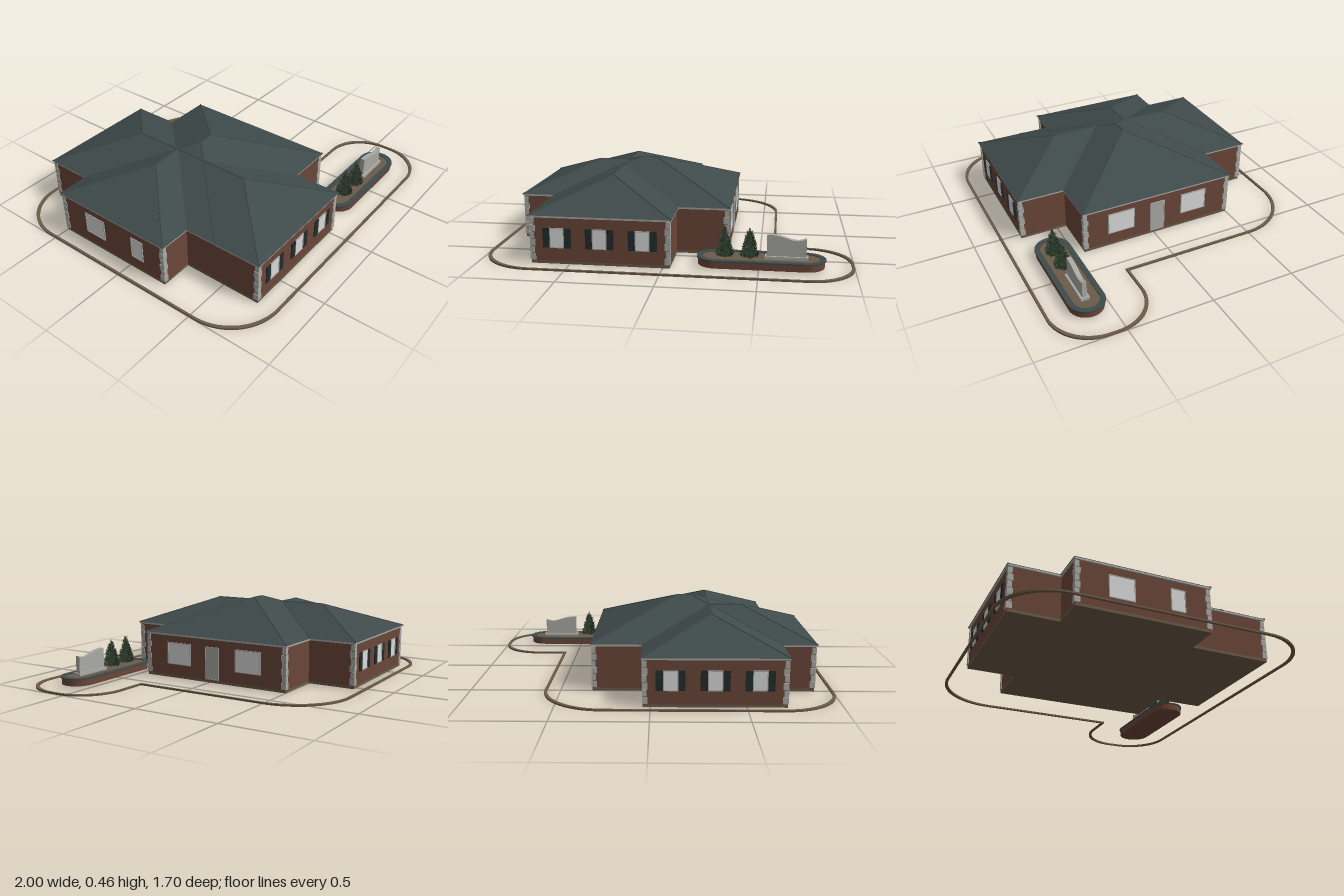
import * as THREE from 'three';
import { mergeGeometries } from 'three/addons/utils/BufferGeometryUtils.js';

const mat = (name, color, side = THREE.FrontSide) => {
  const m = new THREE.MeshStandardMaterial({ color, side });
  m.name = name;
  return m;
};

export function createModel() {
  const root = new THREE.Group();
  root.name = 'house';
  const brick = mat('brick', 0x6a4638);
  const slate = mat('slate', 0x3f4a4a);
  const stone = mat('stone', 0xa9a9a4);
  const glass = mat('pale glass', 0xdadada);
  const shutterPaint = mat('shutter paint', 0x222a2a);
  const earth = mat('earth', 0x6b5a48);
  const leafDark = mat('dark leaves', 0x2b3a2b, THREE.DoubleSide);
  const leafLight = mat('light leaves', 0x44553c, THREE.DoubleSide);

  const add = (parent, name, geo, material, x = 0, y = 0, z = 0) => {
    const m = new THREE.Mesh(geo, material);
    m.name = name;
    m.position.set(x, y, z);
    parent.add(m);
    return m;
  };
  const box = (parent, name, material, w, h, d, x, y, z) =>
    add(parent, name, new THREE.BoxGeometry(w, h, d), material, x, y, z);

  // Three overlapping wings: x0, x1, z0, z1 at the eaves
  const wings = [
    ['longWing', -0.72, 0.05, -0.79, 0.735],
    ['mainWing', -0.72, 0.335, -0.51, 0.455],
    ['sideWing', -0.91, 0.05, -0.51, 0.265],
  ];
  const EAVE = 0.264, PITCH = 0.392, INSET = 0.011;

  // Hip roof, with ridge and hip caps
  function hipRoof(parent, x0, x1, z0, z1) {
    const h = Math.min(x1 - x0, z1 - z0) / 2, top = EAVE + h * PITCH;
    const e = [x0 + h, top, z0 + h], f = [x1 - h, top, z1 - h];
    const alongX = x1 - x0 > z1 - z0;
    const c = [[x0, EAVE, z0], [x0, EAVE, z1], [x1, EAVE, z1], [x1, EAVE, z0]];
    const r = alongX ? [e, e, f, f] : [e, f, f, e];
    const pos = [];
    for (let i = 0; i < 4; i++) {
      const j = (i + 1) % 4;
      pos.push(...c[i], ...c[j], ...r[j]);
      if (r[i] !== r[j]) pos.push(...c[i], ...r[j], ...r[i]);
    }
    pos.push(...c[0], ...c[2], ...c[1], ...c[0], ...c[3], ...c[2]);
    const g = new THREE.BufferGeometry();
    g.setAttribute('position', new THREE.Float32BufferAttribute(pos, 3));
    g.computeVertexNormals();
    add(parent, 'roof', g, slate);
    [[e, f], ...c.map((p, i) => [p, r[i]])].forEach(([a, b]) => {
      const line = new THREE.LineCurve3(new THREE.Vector3(...a), new THREE.Vector3(...b));
      add(parent, 'roofCap', new THREE.TubeGeometry(line, 1, 0.004, 5), slate);
    });
  }

  for (const [name, x0, x1, z0, z1] of wings) {
    const wing = new THREE.Group();
    wing.name = name;
    root.add(wing);
    const w = x1 - x0, d = z1 - z0, x = (x0 + x1) / 2, z = (z0 + z1) / 2;
    box(wing, 'slab', earth, w - 2 * INSET, 0.015, d - 2 * INSET, x, 0.0075, z);
    box(wing, 'walls', brick, w - 2 * INSET, 0.24, d - 2 * INSET, x, 0.135, z);
    box(wing, 'fascia', stone, w - 0.006, 0.01, d - 0.006, x, 0.2585, z);
    hipRoof(wing, x0, x1, z0, z1);
  }

  // Corner stones, alternately long and short; sx, sz point outwards
  const corners = [
    [-0.72, 0.735, -1, 1], [0.05, 0.735, 1, 1], [-0.72, -0.79, -1, -1], [0.05, -0.79, 1, -1],
    [0.335, 0.455, 1, 1], [0.335, -0.51, 1, -1], [-0.91, -0.51, -1, -1], [-0.91, 0.265, -1, 1],
  ];
  for (const [x, z, sx, sz] of corners) {
    const quoin = new THREE.Group();
    quoin.name = 'cornerStones';
    root.add(quoin);
    for (let i = 0; i < 6; i++) {
      const s = i % 2 ? 0.024 : 0.03;
      const off = INSET - 0.004 + s / 2;
      box(quoin, 'cornerStone', stone, s, 0.036, s, x - sx * off, 0.037 + i * 0.039, z - sz * off);
    }
  }

  // Wall openings are built facing +z, then turned to their wall
  function opening(name, x, y, z, turn, w, h, paint) {
    const g = new THREE.Group();
    g.name = name;
    g.position.set(x, y, z);
    g.rotation.y = turn;
    root.add(g);
    box(g, 'pane', paint, w, h, 0.004, 0, 0, 0.001);
    for (const s of [-1, 1]) {
      box(g, 'frameSide', stone, 0.005, h + 0.005, 0.007, s * w / 2, 0, 0.002);
      box(g, 'frameRail', stone, w + 0.005, 0.005, 0.007, 0, s * h / 2, 0.002);
    }
    return g;
  }
  const LONG_FRONT = 0.735 - INSET, LONG_BACK = -0.79 + INSET;
  const RIGHT = 0.335 - INSET, LEFT = -0.91 + INSET;

  // Shuttered windows, front and back
  for (const [z, turn] of [[LONG_FRONT, 0], [LONG_BACK, Math.PI]]) {
    for (const x of [-0.565, -0.335, -0.105]) {
      const win = opening('shutteredWindow', x, 0.143, z, turn, 0.074, 0.105, glass);
      for (const s of [-1, 1]) {
        box(win, 'shutter', shutterPaint, 0.037, 0.108, 0.006, s * 0.058, 0, 0.002);
        for (let i = 0; i < 7; i++)
          box(win, 'slat', shutterPaint, 0.029, 0.006, 0.004, s * 0.058, (i - 3) * 0.0145, 0.006);
      }
    }
  }

  // Door and large windows on one side, two plain windows on the other
  opening('door', RIGHT, 0.114, -0.021, Math.PI / 2, 0.088, 0.188, stone);
  for (const z of [0.212, -0.26])
    opening('largeWindow', RIGHT, 0.147, z, Math.PI / 2, 0.162, 0.127, glass);
  opening('wideWindow', LEFT, 0.145, -0.25, -Math.PI / 2, 0.14, 0.125, glass);
  opening('narrowWindow', LEFT, 0.145, 0.065, -Math.PI / 2, 0.08, 0.125, glass);

  // Flat shapes are drawn in (x, -z) and extruded upwards
  const slabOf = (shape, depth) =>
    new THREE.ExtrudeGeometry(shape, { depth, bevelEnabled: false, curveSegments: 14 }).rotateX(-Math.PI / 2);

  // Kerb around the plot; o moves the line inwards
  function plotLine(T, o) {
    const p = new T();
    const L = -1 + o, R = 1 - o, B = -0.845 + o, U = 0.85 - o, X = 0.587 - o, S = -0.292 - o, q = Math.PI / 2;
    p.moveTo(L + 0.3, B);
    p.lineTo(R - 0.24, B);
    p.absarc(R - 0.24, B + 0.24, 0.24, -q, 0, false);
    p.absarc(R - 0.24, S - 0.24, 0.24, 0, q, false);
    p.lineTo(X, S);
    p.lineTo(X, U - 0.34);
    p.absarc(X - 0.34, U - 0.34, 0.34, 0, q, false);
    p.absarc(L + 0.3, U - 0.3, 0.3, q, 2 * q, false);
    p.absarc(L + 0.3, B + 0.3, 0.3, 2 * q, 3 * q, false);
    return p;
  }
  const kerb = plotLine(THREE.Shape, 0);
  kerb.holes.push(plotLine(THREE.Path, 0.014));
  add(root, 'kerb', slabOf(kerb, 0.01), earth);

  // Planter with a slate rim and earth inside
  const planter = new THREE.Group();
  planter.name = 'planter';
  planter.position.set(0.51, 0, 0.618);
  root.add(planter);
  const stadium = (T, hw, r) => {
    const p = new T();
    p.absarc(hw - r, 0, r, -Math.PI / 2, Math.PI / 2, false);
    p.absarc(-hw + r, 0, r, Math.PI / 2, Math.PI * 1.5, false);
    p.closePath();
    return p;
  };
  add(planter, 'planterWall', slabOf(stadium(THREE.Shape, 0.333, 0.097), 0.036), brick, 0, 0.008, 0);
  const rim = stadium(THREE.Shape, 0.34, 0.103);
  rim.holes.push(stadium(THREE.Path, 0.309, 0.072));
  add(planter, 'planterRim', slabOf(rim, 0.008), slate, 0, 0.044, 0);
  add(planter, 'planterEarth', slabOf(stadium(THREE.Shape, 0.311, 0.074), 0.004), earth, 0, 0.044, 0);

  // Blank stone panel with a wavy top
  const panel = new THREE.Shape();
  panel.moveTo(-0.103, 0);
  panel.lineTo(0.103, 0);
  panel.lineTo(0.103, 0.1);
  panel.bezierCurveTo(0.03, 0.065, 0.01, 0.118, -0.103, 0.117);
  panel.closePath();
  const panelGeo = new THREE.ExtrudeGeometry(panel, { depth: 0.026, bevelEnabled: false });
  add(planter, 'stonePanel', panelGeo, stone, 0.133, 0.062, -0.007);
  box(planter, 'panelBase', stone, 0.226, 0.016, 0.05, 0.133, 0.056, 0.006);

  // Conical shrubs: a core covered with outward-drooping leaves
  let seed = 7;
  const rand = () => (seed = (seed * 16807) % 2147483647) / 2147483647;
  function shrub(x) {
    const g = new THREE.Group();
    g.name = 'shrub';
    g.position.set(x, 0.046, 0.012);
    planter.add(g);
    add(g, 'trunk', new THREE.CylinderGeometry(0.005, 0.006, 0.03, 6), earth, 0, 0.015, 0);
    add(g, 'shrubCore', new THREE.ConeGeometry(0.04, 0.15, 9), leafDark, 0, 0.09, 0);
    const sets = [[], []];
    for (let i = 0; i < 420; i++) {
      const t = 1 - Math.sqrt(rand());
      const a = rand() * Math.PI * 2;
      const r = 0.05 * Math.pow(1 - t, 0.75) * (0.75 + 0.25 * rand());
      const leaf = new THREE.ConeGeometry(0.005, 0.02, 3, 1, true);
      leaf.scale(1, 1, 0.35);
      leaf.rotateZ(-0.5 - rand() * 0.9);
      leaf.rotateY(-a + (rand() - 0.5));
      leaf.translate(Math.cos(a) * r, 0.015 + t * 0.153, Math.sin(a) * r);
      sets[i % 4 === 0 ? 1 : 0].push(leaf);
    }
    add(g, 'darkLeaves', mergeGeometries(sets[0]), leafDark);
    add(g, 'lightLeaves', mergeGeometries(sets[1]), leafLight);
  }
  shrub(-0.193);
  shrub(-0.06);

  return root;
}
